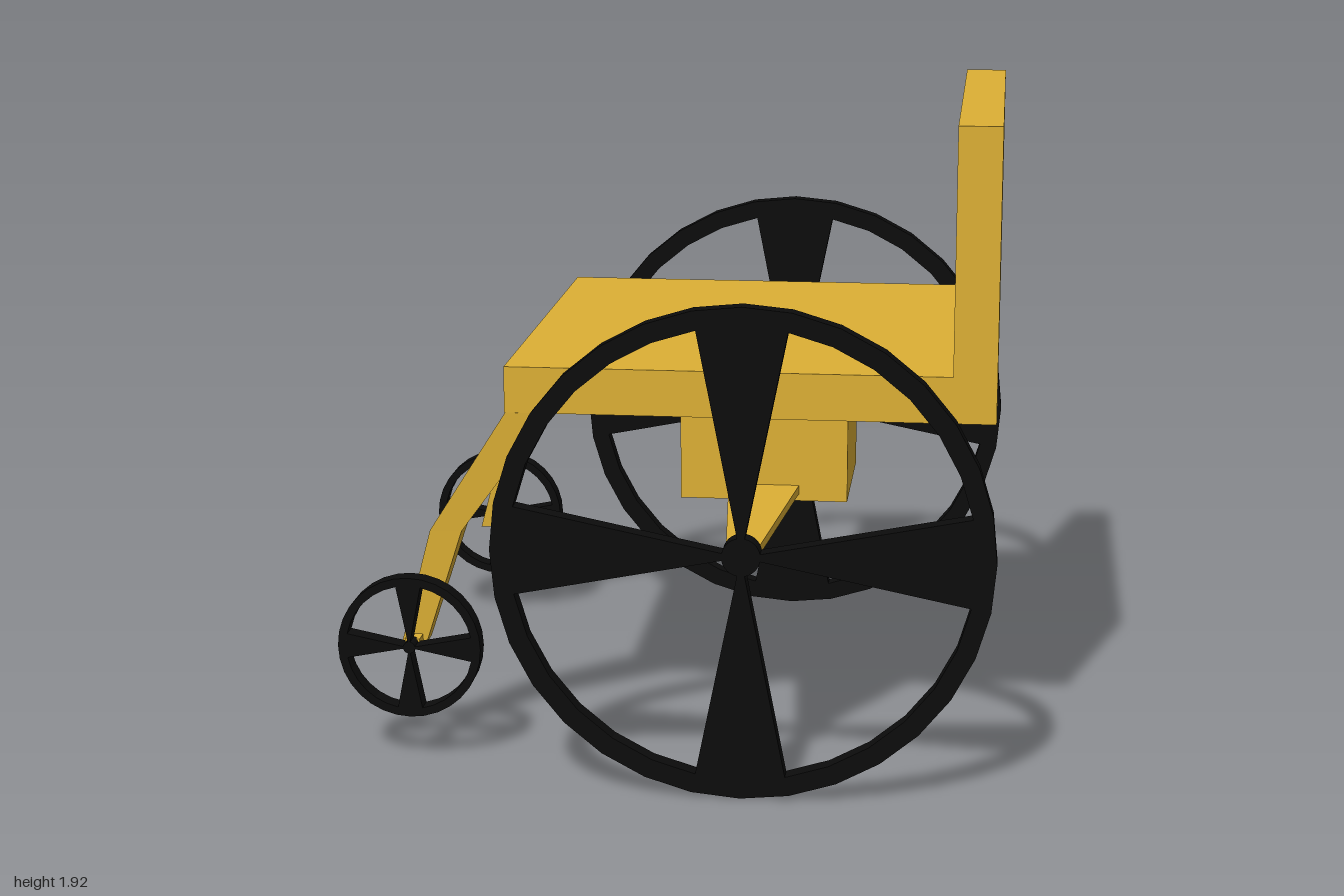
import * as THREE from 'three';

const yellow = new THREE.MeshStandardMaterial({ color: 0xddb035, flatShading: true });
const black = new THREE.MeshStandardMaterial({ color: 0x0c0c0c, flatShading: true });

function mesh(name, geometry, material, x = 0, y = 0, z = 0) {
  const m = new THREE.Mesh(geometry, material);
  m.name = name;
  m.position.set(x, y, z);
  return m;
}

// Points along a circular arc
function arc(radius, from, to, steps) {
  return Array.from({ length: steps + 1 }, (_, i) => {
    const a = from + (to - from) * i / steps;
    return new THREE.Vector2(radius * Math.cos(a), radius * Math.sin(a));
  });
}

function extrude(shape, depth) {
  return new THREE.ExtrudeGeometry(shape, { depth, bevelEnabled: false }).translate(0, 0, -depth / 2);
}

// Flat wheel: a 32-sided disc with four openings that leave wedge spokes
function wheelGeometry(outer, inner, hub, width) {
  const step = Math.PI / 16;
  const shape = new THREE.Shape(arc(outer, 0, step * 31, 31));
  for (let i = 0; i < 4; i++) {
    const a = i * Math.PI / 2 + step, b = a + step * 6;
    shape.holes.push(new THREE.Path([...arc(inner, a, b, 6), ...arc(hub, b, a, 6)]));
  }
  return extrude(shape, width);
}

// Bent leg: each row, bottom to top, gives x from, x to, y and half depth
function legGeometry() {
  const rows = [
    [-0.80, -0.725, 0.335, 0.037],
    [-0.705, -0.61, 0.69, 0.052],
    [-0.47, -0.34, 1.06, 0.071],
  ];
  const g = new THREE.BoxGeometry(1, 1, 1, 1, 2, 1);
  const p = g.attributes.position;
  for (let i = 0; i < p.count; i++) {
    const [x0, x1, y, half] = rows[Math.round((p.getY(i) + 0.5) * 2)];
    p.setXYZ(i, p.getX(i) < 0 ? x0 : x1, y, Math.sign(p.getZ(i)) * half);
  }
  g.computeVertexNormals();
  return g;
}

// Flat axle arm that narrows from the block to the wheel
function axleGeometry(side) {
  const g = new THREE.BoxGeometry(1, 0.027, 0.72);
  const p = g.attributes.position;
  for (let i = 0; i < p.count; i++) {
    const outerEnd = p.getZ(i) * side > 0;
    p.setX(i, Math.sign(p.getX(i)) * (outerEnd ? 0.046 : 0.11));
  }
  g.computeVertexNormals();
  return g;
}

export function createModel() {
  const chair = new THREE.Group();
  chair.name = 'wheelchair';

  // Seat and backrest share one L-shaped profile
  const profile = new THREE.Shape([
    [-0.473, 1.06], [0.96, 1.06], [0.96, 1.92], [0.833, 1.92], [0.833, 1.197], [-0.473, 1.197],
  ].map(([x, y]) => new THREE.Vector2(x, y)));
  chair.add(mesh('seatAndBackrest', extrude(profile, 1.44), yellow));

  // Block under the seat that carries the axles
  chair.add(mesh('axleBlock', new THREE.BoxGeometry(0.515, 0.37, 0.5), yellow, 0.25, 0.877, 0));

  for (const side of [1, -1]) {
    const label = side > 0 ? 'left' : 'right';
    chair.add(mesh(label + 'Axle', axleGeometry(side), yellow, 0.25, 0.727, side * 0.6));
    chair.add(mesh(label + 'BigWheel', wheelGeometry(0.722, 0.665, 0.056, 0.055), black, 0.25, 0.722, side * 0.9725));
    chair.add(mesh(label + 'Leg', legGeometry(), yellow, 0, 0, side * 0.65));
    chair.add(mesh(label + 'CasterAxle', new THREE.BoxGeometry(0.045, 0.02, 0.09), yellow, -0.758, 0.353, side * 0.695));
    chair.add(mesh(label + 'CasterWheel', wheelGeometry(0.215, 0.19, 0.018, 0.057), black, -0.758, 0.35, side * 0.758));
  }
  return chair;
}
